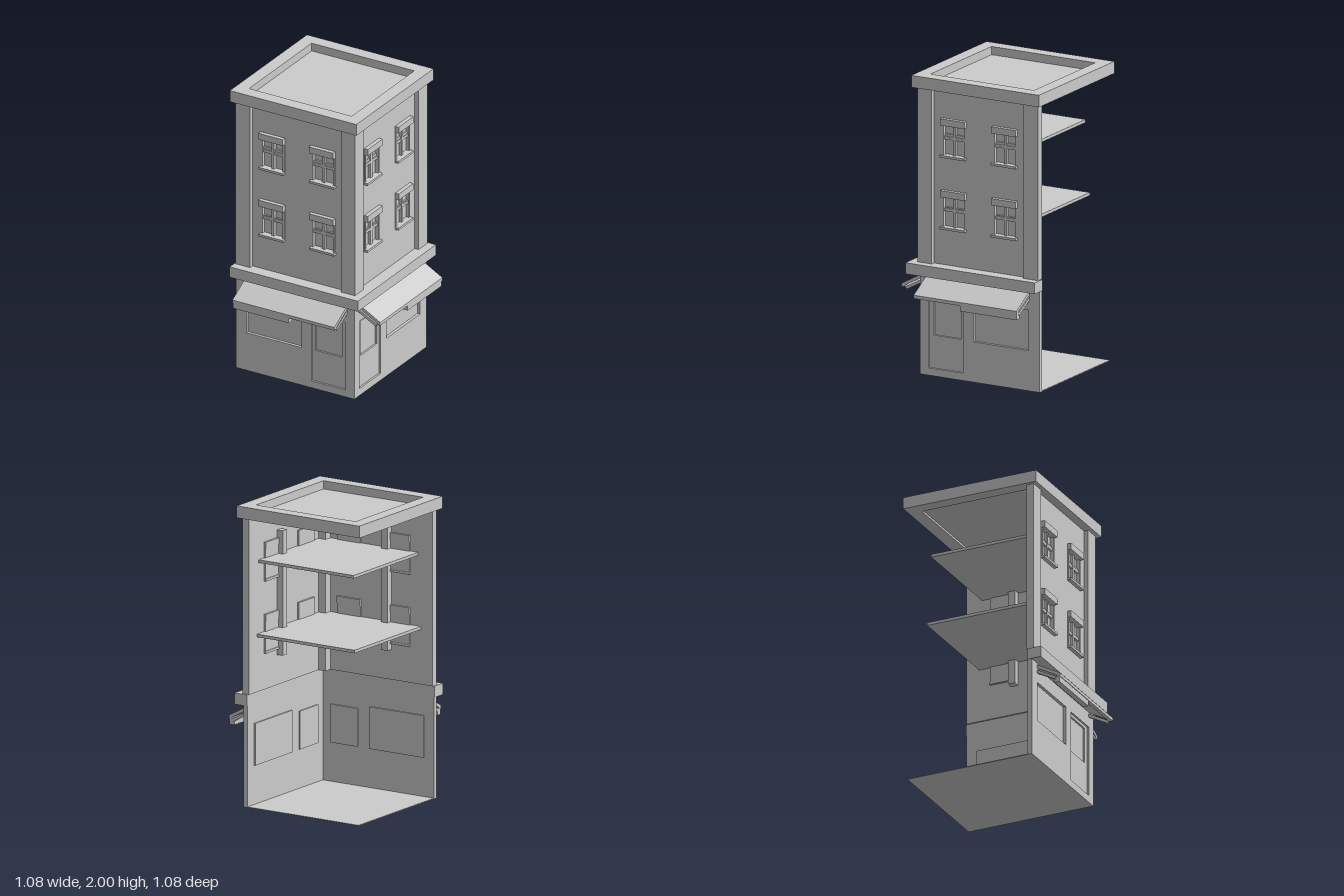
import * as THREE from 'three';
import { mergeVertices } from 'three/addons/utils/BufferGeometryUtils.js';

const material = new THREE.MeshStandardMaterial({ color: 0xcccccc, flatShading: true });

function add(group, name, geometry) {
  const mesh = new THREE.Mesh(geometry, material);
  mesh.name = name;
  group.add(mesh);
  return mesh;
}

// Box given by its minimum and maximum along each axis
function box(group, name, x0, x1, y0, y1, z0, z1) {
  const g = new THREE.BoxGeometry(x1 - x0, y1 - y0, z1 - z0);
  g.translate((x0 + x1) / 2, (y0 + y1) / 2, (z0 + z1) / 2);
  return add(group, name, g);
}

const rectangle = (Type, x0, x1, y0, y1) =>
  new Type([[x0, y0], [x1, y0], [x1, y1], [x0, y1]].map(p => new THREE.Vector2(...p)));

// Wall plate in the XY plane with rectangular openings
function plate(group, name, outline, holes, z0, z1) {
  const shape = rectangle(THREE.Shape, ...outline);
  shape.holes = holes.map(h => rectangle(THREE.Path, ...h));
  const g = new THREE.ExtrudeGeometry(shape, { depth: z1 - z0, bevelEnabled: false });
  g.translate(0, 0, z0);
  return add(group, name, g);
}

// Bar whose (z, y) section runs along x
function section(group, name, points, x0, x1) {
  const shape = new THREE.Shape(points.map(([z, y]) => new THREE.Vector2(-z, y)));
  const g = new THREE.ExtrudeGeometry(shape, { depth: x1 - x0, bevelEnabled: false });
  g.rotateY(Math.PI / 2);
  g.translate(x0, 0, 0);
  return add(group, name, g);
}

function upperWindow(group, x, y) {
  const w = new THREE.Group();
  w.name = 'window';
  box(w, 'windowPane', x - 0.09, x + 0.09, y + 0.01, y + 0.22, 0.325, 0.335);
  box(w, 'windowLintel', x - 0.093, x + 0.09, y + 0.215, y + 0.26, 0.32, 0.383);
  box(w, 'windowSill', x - 0.093, x + 0.093, y, y + 0.016, 0.32, 0.383);
  box(w, 'windowMullion', x - 0.01, x + 0.01, y + 0.016, y + 0.215, 0.335, 0.355);
  box(w, 'windowTransom', x - 0.09, x + 0.09, y + 0.118, y + 0.138, 0.335, 0.353);
  for (const s of [-1, 1])
    box(w, 'windowJamb', x + s * 0.083 - 0.007, x + s * 0.083 + 0.007, y + 0.016, y + 0.215, 0.33, 0.36);
  group.add(w);
}

// One street side, facing +z
function createFacade() {
  const f = new THREE.Group();
  f.name = 'facade';

  // Shop level with display window and door recesses
  plate(f, 'shopWall', [-0.52, 0.375, 0, 0.69],
    [[-0.44, -0.025, 0.27, 0.54], [0.05, 0.31, 0.05, 0.535]], 0.345, 0.375);
  box(f, 'shopWindowPane', -0.445, -0.02, 0.265, 0.545, 0.335, 0.355);
  plate(f, 'door', [0.045, 0.315, 0.045, 0.54], [[0.075, 0.275, 0.27, 0.515]], 0.345, 0.362);
  box(f, 'doorPane', 0.07, 0.28, 0.265, 0.52, 0.336, 0.35);
  box(f, 'ledgeBand', -0.525, 0.443, 0.675, 0.75, 0.345, 0.443);

  // Awning with arms and a hanging bar
  section(f, 'awningCanopy',
    [[0.37, 0.667], [0.37, 0.642], [0.515, 0.562], [0.515, 0.55], [0.54, 0.55], [0.54, 0.572]].reverse(), -0.445, 0.325);
  for (const x of [-0.445, 0.305])
    section(f, 'awningArm', [[0.37, 0.63], [0.37, 0.608], [0.505, 0.535], [0.515, 0.552]].reverse(), x, x + 0.02);
  box(f, 'hangingBar', -0.443, -0.022, 0.512, 0.55, 0.498, 0.536);

  // Upper storeys
  const xs = [-0.252, 0.13], ys = [0.99, 1.47], holes = [];
  for (const x of xs) for (const y of ys) {
    holes.push([x - 0.085, x + 0.085, y + 0.01, y + 0.22]);
    upperWindow(f, x, y);
  }
  plate(f, 'upperWall', [-0.515, 0.36, 0.75, 1.93], holes, 0.335, 0.355);
  box(f, 'endPilaster', -0.515, -0.405, 0.75, 1.93, 0.335, 0.385);
  // Slim post inside beside the outer windows
  box(f, 'innerPost', -0.195, -0.145, 0.95, 1.78, 0.29, 0.335);
  return f;
}

// Swap x and z so the second street side mirrors the first about the corner
function mirrorFacade(source) {
  const swap = new THREE.Matrix4().set(0, 0, 1, 0, 0, 1, 0, 0, 1, 0, 0, 0, 0, 0, 0, 1);
  const copy = source.clone(true);
  copy.name = 'sideFacade';
  copy.traverse(m => {
    if (!m.isMesh) return;
    const g = m.geometry.index ? m.geometry.clone() : mergeVertices(m.geometry);
    g.applyMatrix4(swap);
    g.setIndex(Array.from(g.index.array).reverse());
    m.geometry = g;
  });
  return copy;
}

export function createModel() {
  const model = new THREE.Group();
  model.name = 'cornerBuilding';

  const front = createFacade();
  front.name = 'frontFacade';
  model.add(front, mirrorFacade(front));
  box(model, 'cornerPilaster', 0.28, 0.385, 0.75, 1.93, 0.28, 0.385);

  // Floors, open to the back and left
  box(model, 'groundFloor', -0.52, 0.375, 0, 0.005, -0.52, 0.375);
  box(model, 'middleFloor', -0.425, 0.345, 1.115, 1.135, -0.425, 0.345);
  box(model, 'upperFloor', -0.405, 0.345, 1.605, 1.625, -0.405, 0.345);

  // Roof: raised rim around a sunken deck
  const rim = plate(model, 'roofRim', [-0.54, 0.415, -0.415, 0.54], [[-0.45, 0.325, -0.325, 0.45]], 0, 0.08);
  rim.geometry.rotateX(-Math.PI / 2).translate(0, 1.92, 0);
  box(model, 'roofDeck', -0.455, 0.33, 1.935, 1.945, -0.455, 0.33);
  return model;
}
